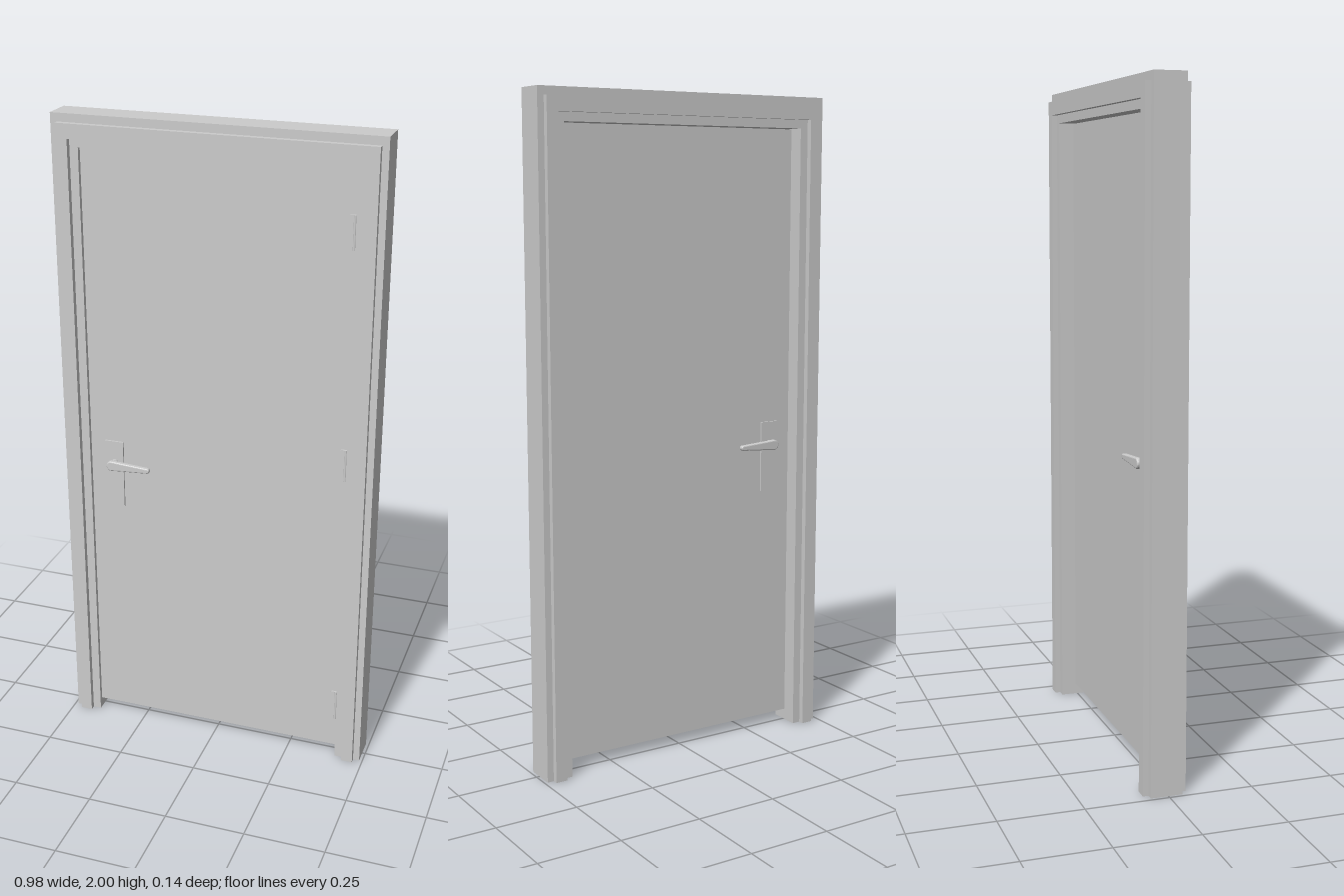
import * as THREE from 'three';

const material = new THREE.MeshStandardMaterial({ color: 0xcccccc });

function add(parent, name, geometry, x = 0, y = 0, z = 0) {
  const mesh = new THREE.Mesh(geometry, material);
  mesh.name = name;
  mesh.position.set(x, y, z);
  parent.add(mesh);
  return mesh;
}

// U-shaped surround, open at the floor, extruded from z0 to z1
function surround(outerX, outerY, innerX, innerY, z0, z1) {
  const shape = new THREE.Shape([
    [-outerX, 0], [-outerX, outerY], [outerX, outerY], [outerX, 0],
    [innerX, 0], [innerX, innerY], [-innerX, innerY], [-innerX, 0],
  ].map(([x, y]) => new THREE.Vector2(x, y)));
  const geometry = new THREE.ExtrudeGeometry(shape, { depth: z1 - z0, bevelEnabled: false });
  return geometry.translate(0, 0, z0);
}

// Tapered lever outline with a rounded hub end and a narrow rounded tip
function leverGeometry() {
  const bevel = 0.004;
  const hub = 0.012, tip = 0.004, length = 0.121;
  const shape = new THREE.Shape();
  shape.absarc(0, 0, hub, Math.PI / 2, Math.PI * 1.5, false);
  shape.lineTo(0.03, -hub * 0.8);
  shape.lineTo(length - tip, -tip);
  shape.absarc(length - tip, 0, tip, -Math.PI / 2, Math.PI / 2, false);
  shape.lineTo(0.03, hub * 0.8);
  shape.closePath();
  return new THREE.ExtrudeGeometry(shape, {
    depth: 0.008, bevelThickness: bevel, bevelSize: bevel, bevelSegments: 3, curveSegments: 12,
  }).translate(0, 0, bevel);
}

// Plate, neck and lever, built facing +z from the door face
function handle(name) {
  const group = new THREE.Group();
  group.name = name;
  add(group, 'handlePlate', new THREE.BoxGeometry(0.06, 0.22, 0.006), -0.33, 0.89, 0.003);
  const neck = new THREE.CylinderGeometry(0.011, 0.011, 0.024, 20).rotateX(Math.PI / 2);
  add(group, 'handleNeck', neck, -0.328, 0.93, 0.017);
  add(group, 'handleLever', leverGeometry(), -0.328, 0.93, 0.024);
  return group;
}

// Hinge leaf with rounded free corners and a knuckle at the jamb
function hinge(y) {
  const group = new THREE.Group();
  group.name = 'hinge';
  const w = 0.022, h = 0.1, r = 0.008;
  const leaf = new THREE.Shape();
  leaf.moveTo(w, 0);
  leaf.lineTo(w, h);
  leaf.lineTo(r, h);
  leaf.quadraticCurveTo(0, h, 0, h - r);
  leaf.lineTo(0, r);
  leaf.quadraticCurveTo(0, 0, r, 0);
  leaf.closePath();
  add(group, 'hingeLeaf', new THREE.ExtrudeGeometry(leaf, { depth: 0.005, bevelEnabled: false }),
    0.385, y - h / 2, 0.03);
  add(group, 'hingeKnuckle', new THREE.CylinderGeometry(0.004, 0.004, h, 12), 0.403, y, 0.034);
  return group;
}

export function createModel() {
  const model = new THREE.Group();
  model.name = 'door';

  // Frame with raised casings on both faces
  const frame = new THREE.Group();
  frame.name = 'doorFrame';
  add(frame, 'jamb', surround(0.49, 2, 0.408, 1.906, -0.053, 0.042));
  add(frame, 'frontCasing', surround(0.47, 1.975, 0.434, 1.932, 0.042, 0.059));
  add(frame, 'backCasing', surround(0.47, 1.975, 0.434, 1.932, -0.07, -0.053));
  model.add(frame);

  // Door leaf, raised clear of the floor
  add(model, 'doorLeaf', new THREE.BoxGeometry(0.815, 1.87, 0.036), 0, 0.97, 0.012);

  // Handles on both faces; the back one is turned round and mirrored in x
  const front = handle('frontHandle');
  front.position.z = 0.03;
  const back = handle('backHandle');
  back.scale.z = -1;
  back.position.z = -0.006;
  model.add(front, back);

  for (const y of [0.188, 1.028, 1.73]) model.add(hinge(y));
  return model;
}
